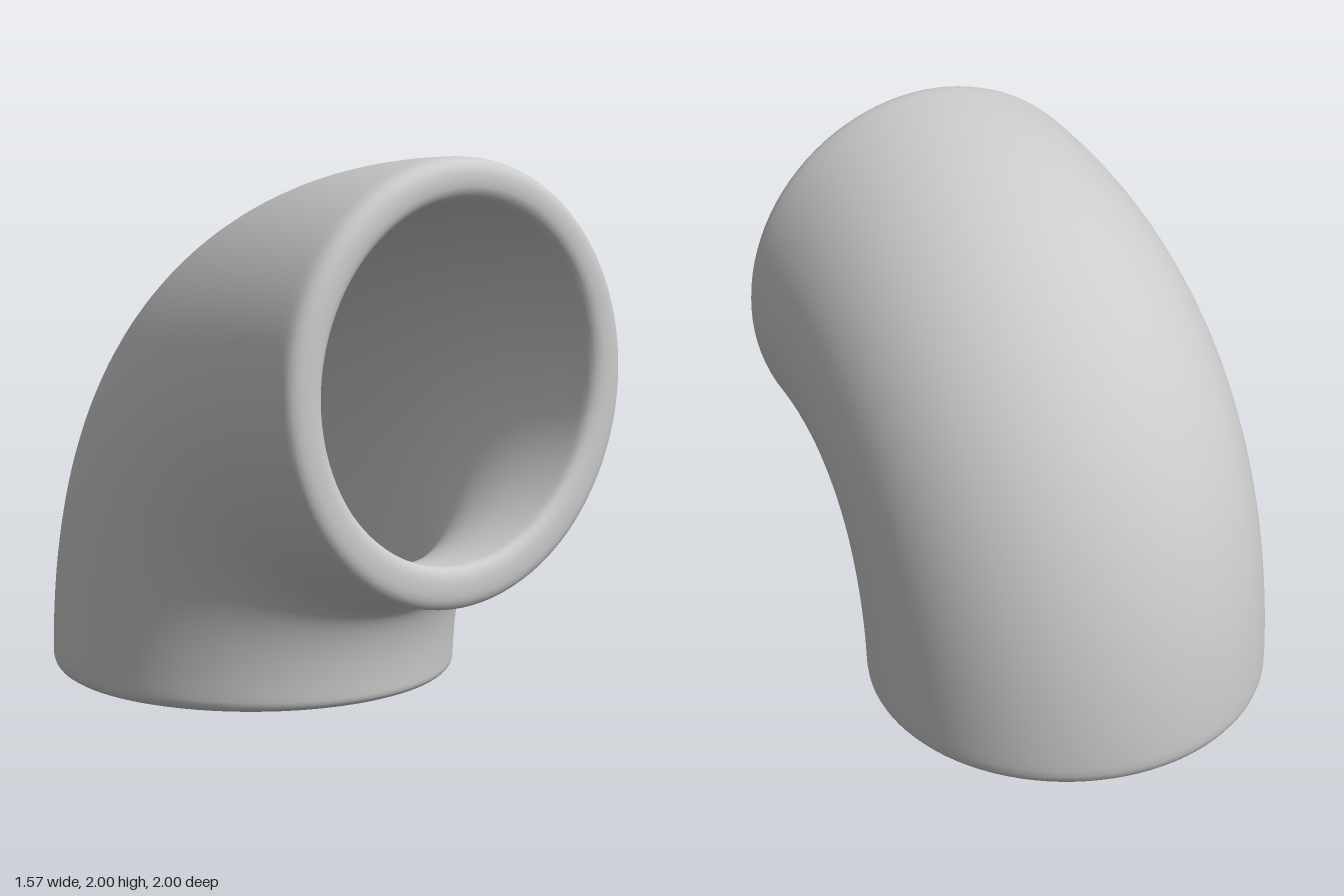
import * as THREE from 'three';

const BEND = 1.212;   // distance from the bend corner to each mouth centre
const OUTER = 0.785;  // outer pipe radius
const INNER = 0.632;  // bore radius
const RIM = 0.027;    // share of the path used by each rounded rim
const AROUND = 96, ALONG = 64, RIM_STEPS = 12;

// Rows of the closed wall section: [position on path, radius]
function wallRows() {
  const rows = [];
  const mid = (OUTER + INNER) / 2, half = (OUTER - INNER) / 2;
  const rim = (end) => {
    for (let i = 1; i < RIM_STEPS; i++) {
      const a = Math.PI * i / RIM_STEPS;
      const depth = RIM * (1 - Math.pow(Math.sin(a), 0.8));
      const c = Math.cos(a);
      const r = mid + half * Math.sign(c) * Math.pow(Math.abs(c), 0.8) * (end ? 1 : -1);
      rows.push([end ? 1 - depth : depth, r]);
    }
  };
  const run = (from, to, r) => {
    for (let i = 0; i <= ALONG; i++) rows.push([from + (to - from) * i / ALONG, r]);
  };
  run(RIM, 1 - RIM, OUTER);   // outside
  rim(true);                  // front mouth
  run(1 - RIM, RIM, INNER);   // bore
  rim(false);                 // bottom mouth
  return rows;
}

export function createModel() {
  const group = new THREE.Group();
  group.name = 'pipeElbow';

  // Centre line from the bottom mouth to the front mouth
  const h = 0.8, z0 = 1 - BEND;
  const path = new THREE.CubicBezierCurve3(
    new THREE.Vector3(0, 0, z0), new THREE.Vector3(0, h, z0),
    new THREE.Vector3(0, BEND, 1 - h), new THREE.Vector3(0, BEND, 1));

  const rows = wallRows();
  const positions = [], index = [];
  const side = new THREE.Vector3(1, 0, 0);
  rows.forEach(([t, r], i) => {
    const p = path.getPoint(t);
    const up = new THREE.Vector3().crossVectors(path.getTangent(t), side);
    const next = (i + 1) % rows.length;
    for (let j = 0; j < AROUND; j++) {
      const a = 2 * Math.PI * j / AROUND;
      const v = p.clone().addScaledVector(side, r * Math.cos(a)).addScaledVector(up, r * Math.sin(a));
      positions.push(v.x, v.y, v.z);
      const k = (j + 1) % AROUND;
      const A = i * AROUND + j, B = i * AROUND + k, C = next * AROUND + k, D = next * AROUND + j;
      index.push(A, B, C, A, C, D);
    }
  });

  const geometry = new THREE.BufferGeometry();
  geometry.setAttribute('position', new THREE.Float32BufferAttribute(positions, 3));
  geometry.setIndex(index);
  geometry.computeVertexNormals();

  const elbow = new THREE.Mesh(geometry, new THREE.MeshStandardMaterial({ color: 0xcccccc }));
  elbow.name = 'elbowWall';
  group.add(elbow);
  return group;
}
